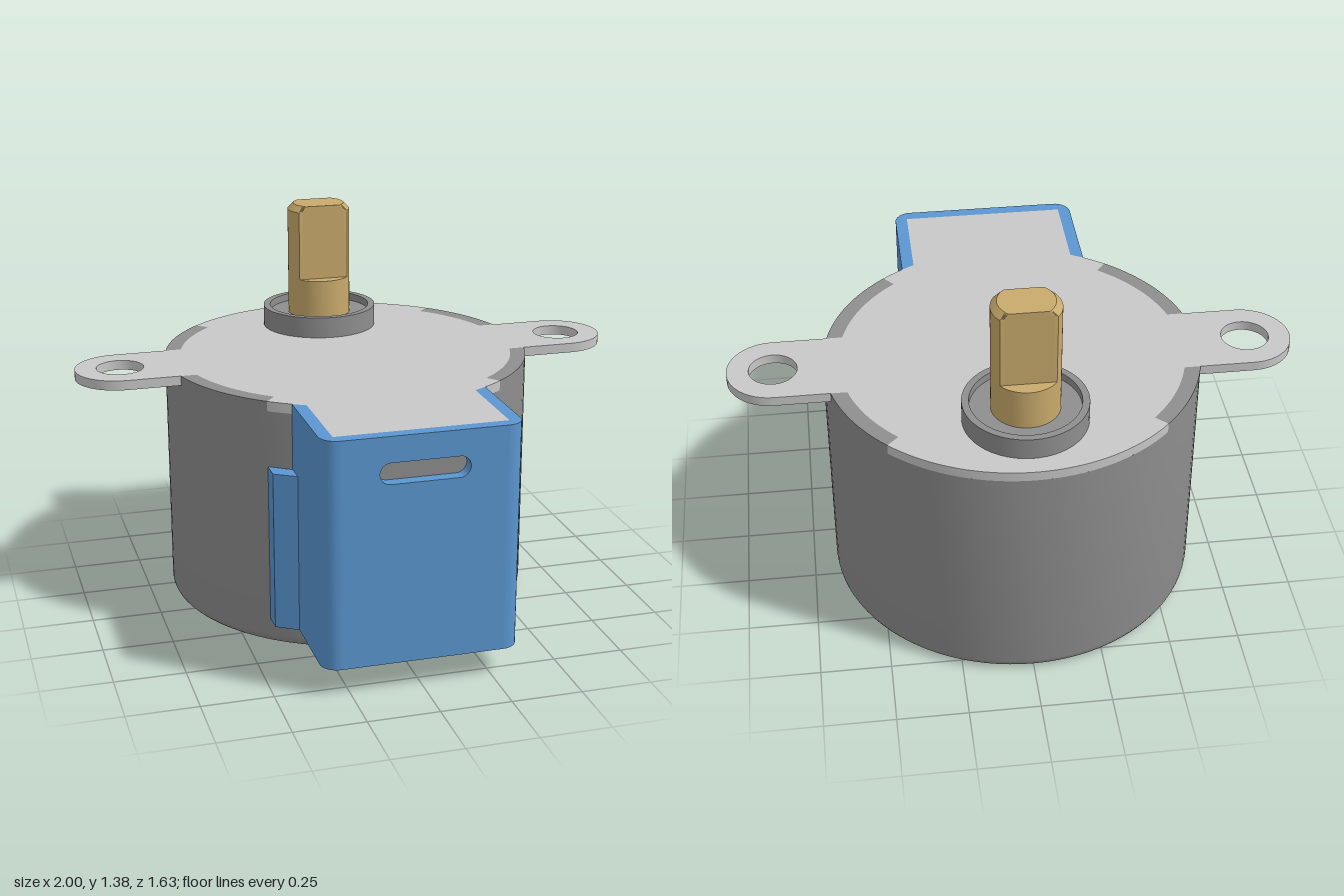
import * as THREE from 'three';
import { toCreasedNormals } from 'three/addons/utils/BufferGeometryUtils.js';

const R = 0.665, RIM = 0.61, CZ = -0.155;          // can radius, lid radius, can centre
const TOP = 0.905, LID = 0.87, BASE = 0.1;         // lid top, lid underside, housing base
const TAB = { x: 0.838, z: -0.16, r: 0.162 };      // mounting ear
const SHAFT_Z = -0.535;
const deg = Math.PI / 180;

const steel = new THREE.MeshStandardMaterial({ color: 0x8e8e8e });
const zinc = new THREE.MeshStandardMaterial({ color: 0xc8c8c8 });
const blue = new THREE.MeshStandardMaterial({ color: 0x5a96d0 });
const brass = new THREE.MeshStandardMaterial({ color: 0xc8aa6c });
steel.name = 'steel grey';
zinc.name = 'light zinc';
blue.name = 'blue plastic';
brass.name = 'brass';

// Points [x, z] along an arc
function arc(cx, cz, r, a0, a1, n = 16) {
  return Array.from({ length: n + 1 }, (_, i) => {
    const a = a0 + (a1 - a0) * i / n;
    return [cx + r * Math.cos(a), cz + r * Math.sin(a)];
  });
}

const toShape = (pts, side = 1) =>
  new THREE.Shape(pts.map(([x, z]) => new THREE.Vector2(x * side, z)));

// Plan outline in x, z raised from y0 to y1
function raise(shape, y0, y1) {
  const g = new THREE.ExtrudeGeometry(shape, { depth: y1 - y0, bevelEnabled: false, curveSegments: 24 });
  g.rotateX(Math.PI / 2).translate(0, y1, 0);
  return toCreasedNormals(g, 0.5);
}

const turn = (pts, n = 72) =>
  new THREE.LatheGeometry(pts.map(([r, y]) => new THREE.Vector2(r, y)), n);

export function createModel() {
  const model = new THREE.Group();
  model.name = 'gearedMotor';
  const add = (name, geometry, material, z = 0) => {
    const mesh = new THREE.Mesh(geometry, material);
    mesh.name = name;
    mesh.position.z = z;
    model.add(mesh);
  };

  // Can with a rounded bottom edge
  const foot = arc(R - 0.04, 0.04, 0.04, -Math.PI / 2, 0, 5);
  add('can', toCreasedNormals(turn([[0, 0], ...foot, [R, LID], [0, LID]], 96), 0.5), steel, CZ);

  // Lid: one half outline, mirrored, with ears and a tongue over the housing
  const backAngle = -45 * deg, frontAngle = 51 * deg;
  const tabBack = TAB.z - TAB.r - CZ, tabFront = TAB.z + TAB.r - CZ;
  const wallAngle = Math.acos(0.30 / R);
  const half = [
    ...arc(0, CZ, R, -Math.PI / 2, backAngle),
    ...arc(0, CZ, RIM, backAngle, Math.asin(tabBack / RIM), 12),
    ...arc(TAB.x, TAB.z, TAB.r, -Math.PI / 2, Math.PI / 2, 24),
    ...arc(0, CZ, RIM, Math.asin(tabFront / RIM), frontAngle, 12),
    ...arc(0, CZ, R, frontAngle, wallAngle, 5),
    [0.30, 0.77],
  ];
  const mirrored = half.slice(1).reverse().map(([x, z]) => [-x, z]);
  const lid = toShape([...half, ...mirrored]);
  for (const side of [1, -1]) {
    lid.holes.push(new THREE.Path().absarc(side * TAB.x, TAB.z, 0.085, 0, Math.PI * 2, true));
  }
  add('lid', raise(lid, LID, TOP), zinc);

  for (const side of [1, -1]) {
    const label = side > 0 ? 'left' : 'right';

    // Can rim exposed in the lid notches
    const rims = [
      [arc(0, CZ, R, backAngle, Math.asin(tabBack / R)),
        arc(0, CZ, RIM, Math.asin(tabBack / RIM), backAngle, 12)],
      [arc(0, CZ, R, Math.asin(tabFront / R), frontAngle),
        arc(0, CZ, RIM, frontAngle, Math.asin(tabFront / RIM), 12)],
    ];
    rims.forEach(([outer, inner], i) =>
      add(label + (i ? 'FrontRim' : 'BackRim'), raise(toShape([...outer, ...inner], side), LID, TOP), steel));

    // Housing side wall with its rounded front corner
    const wall = [
      [0.30, 0.438], [0.345, 0.413],
      ...arc(0.285, 0.755, 0.06, 0, Math.PI / 2, 8),
      [0.285, 0.77], [0.30, 0.77],
    ];
    add(label + 'HousingWall', raise(toShape(wall, side), BASE, TOP), blue);

    // Clip wing hugging the can
    const wing = [[0.33, 0.365], [0.42, 0.365], [0.42, 0.437], [0.345, 0.484], [0.33, 0.484]];
    add(label + 'HousingWing', raise(toShape(wing, side), BASE, 0.67), blue);
  }

  // Housing front with a rounded slot
  const front = toShape([[-0.285, BASE], [0.285, BASE], [0.285, TOP], [-0.285, TOP]]);
  const slot = new THREE.Path();
  slot.absarc(0.118, 0.777, 0.037, -Math.PI / 2, Math.PI / 2, false);
  slot.absarc(-0.118, 0.777, 0.037, Math.PI / 2, Math.PI * 1.5, false);
  front.holes.push(slot);
  const frontGeometry = new THREE.ExtrudeGeometry(front, { depth: 0.045, bevelEnabled: false, curveSegments: 12 });
  add('housingFront', toCreasedNormals(frontGeometry, 0.5), blue, 0.77);

  // Grey core filling the housing
  add('housingCore', new THREE.BoxGeometry(0.60, LID - BASE, 0.47).translate(0, (LID + BASE) / 2, 0.535), steel);

  // Bearing collar with a shallow recess
  const collar = [[0.215, 0.89], [0.215, 0.983], [0.19, 0.983], [0.19, 0.955], [0, 0.955]];
  add('bearingCollar', toCreasedNormals(turn(collar), 0.5), steel, SHAFT_Z);

  // Shaft: round base, then a chamfered tip squeezed to two flats
  add('shaftBase', toCreasedNormals(turn([[0.118, 0.94], [0.118, 1.1], [0, 1.1]]), 0.5), brass, SHAFT_Z);
  const tip = turn([[0.118, 1.09], [0.118, 1.36], [0.096, 1.382], [0, 1.382]], 96);
  const p = tip.attributes.position;
  for (let i = 0; i < p.count; i++) p.setZ(i, THREE.MathUtils.clamp(p.getZ(i), -0.07, 0.07));
  add('shaftTip', toCreasedNormals(tip, 0.4), brass, SHAFT_Z);

  return model;
}
